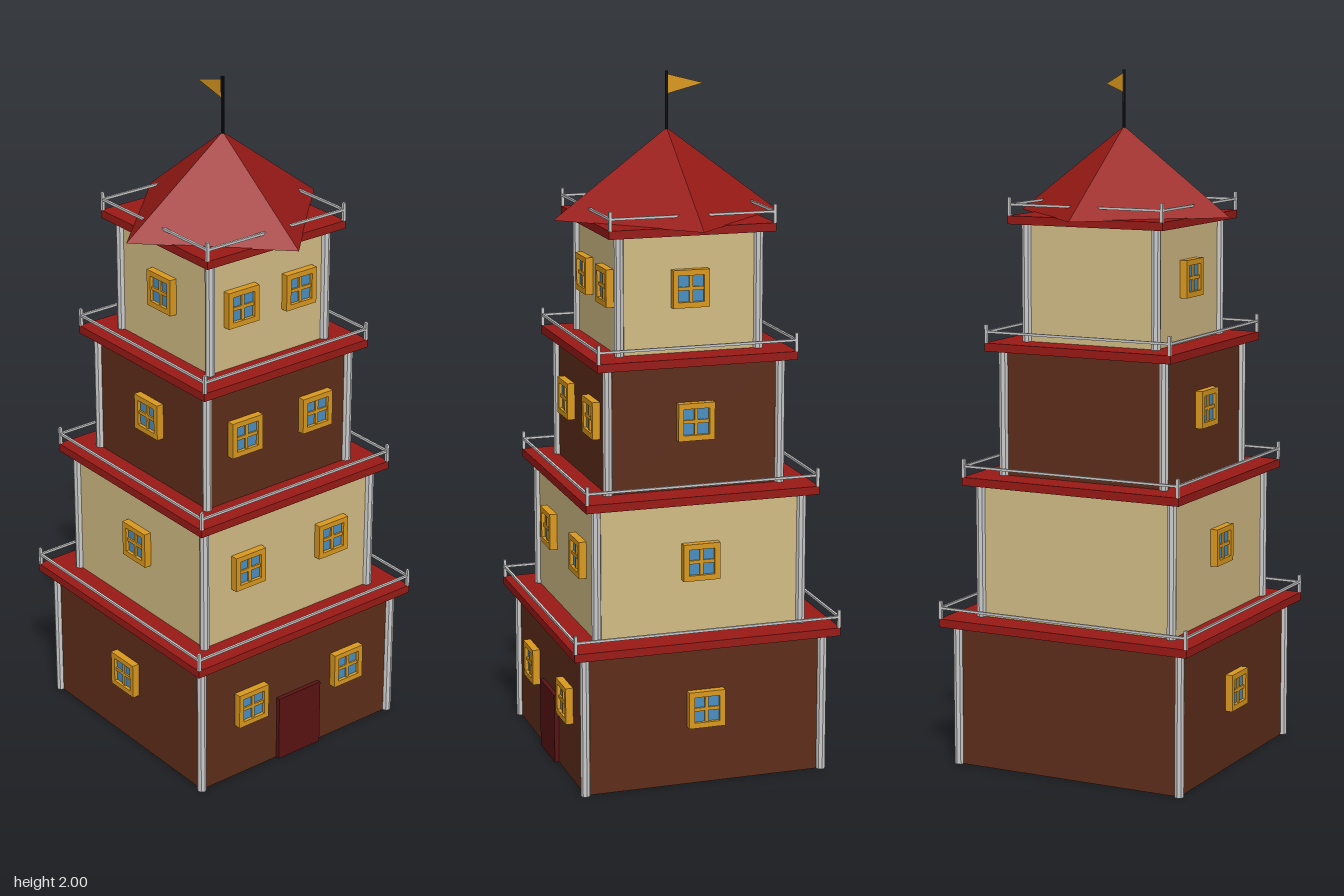
import * as THREE from 'three';

const mat = (color, extra = {}) => new THREE.MeshStandardMaterial({ color, flatShading: true, ...extra });
const BROWN = mat(0x5f2e1b), CREAM = mat(0xd4be86), RED = mat(0x9a1a16), GREY = mat(0xcccccc);
const GOLD = mat(0xdc9a1e), GLASS = mat(0x4a90c4), DOOR = mat(0x5a1212), POLE = mat(0x14141c);
const FLAG = mat(0xdc9a1e, { side: THREE.DoubleSide });

function add(parent, name, geometry, material, x = 0, y = 0, z = 0) {
  const mesh = new THREE.Mesh(geometry, material);
  mesh.name = name;
  mesh.position.set(x, y, z);
  parent.add(mesh);
  return mesh;
}
const box = (w, h, d) => new THREE.BoxGeometry(w, h, d);

// Window facing +z, its back sitting on z = 0
function makeWindow() {
  const g = new THREE.Group();
  g.name = 'window';
  const size = 0.108, bar = 0.016, depth = 0.022, off = (size - bar) / 2;
  add(g, 'windowPane', box(size - bar, size - bar, 0.012), GLASS, 0, 0, 0.006);
  for (const s of [-1, 1]) {
    add(g, 'windowFrameRail', box(size, bar, depth), GOLD, 0, s * off, depth / 2);
    add(g, 'windowFrameStile', box(bar, size - 2 * bar, depth), GOLD, s * off, 0, depth / 2);
  }
  add(g, 'windowMullion', box(0.01, size - 2 * bar, 0.017), GOLD, 0, 0, 0.0085);
  add(g, 'windowTransom', box(size - 2 * bar, 0.01, 0.017), GOLD, 0, 0, 0.0085);
  return g;
}

// Balcony railing round a square of half-width r, standing on y
function makeRailing(r, y) {
  const g = new THREE.Group();
  g.name = 'railing';
  for (const s of [-1, 1]) {
    add(g, 'handrailX', box(2 * r, 0.007, 0.007), GREY, 0, y + 0.032, s * r);
    add(g, 'handrailZ', box(0.007, 0.007, 2 * r), GREY, s * r, y + 0.032, 0);
    for (const t of [-1, 1]) add(g, 'railingPost', box(0.009, 0.053, 0.009), GREY, s * r, y + 0.0265, t * r);
  }
  return g;
}

// One storey: walls, corner posts, ledge, railing and windows
function makeStorey({ wall, ledge, base, top, windowX, windowY, material }) {
  const g = new THREE.Group();
  g.name = 'storey';
  const slab = 0.024, height = top - slab - base, mid = base + height / 2;
  add(g, 'walls', box(2 * wall, height, 2 * wall), material, 0, mid, 0);
  for (const s of [-1, 1]) for (const t of [-1, 1])
    add(g, 'cornerPost', new THREE.CylinderGeometry(0.014, 0.014, height, 8), GREY, s * wall, mid, t * wall);
  add(g, 'ledge', box(2 * ledge, slab, 2 * ledge), RED, 0, top - slab / 2, 0);
  g.add(makeRailing(ledge - 0.004, top));
  for (const s of [-1, 1]) {
    const front = makeWindow();
    front.position.set(s * windowX, windowY, wall);
    const side = makeWindow();
    side.position.set(s * wall, windowY, 0);
    side.rotation.y = s * Math.PI / 2;
    g.add(front, side);
  }
  return g;
}

export function createModel() {
  const model = new THREE.Group();
  model.name = 'tower';

  const storeys = [
    { wall: 0.356, ledge: 0.396, base: 0, top: 0.435, windowX: 0.18, windowY: 0.226, material: BROWN },
    { wall: 0.306, ledge: 0.345, base: 0.435, top: 0.846, windowX: 0.154, windowY: 0.648, material: CREAM },
    { wall: 0.256, ledge: 0.295, base: 0.846, top: 1.231, windowX: 0.128, windowY: 1.044, material: BROWN },
    { wall: 0.206, ledge: 0.245, base: 1.231, top: 1.592, windowX: 0.103, windowY: 1.415, material: CREAM },
  ];
  for (const s of storeys) model.add(makeStorey(s));

  add(model, 'door', box(0.156, 0.206, 0.02), DOOR, 0, 0.103, 0.359);

  // Pyramid roof with its corners on the x and z axes
  add(model, 'roof', new THREE.ConeGeometry(0.336, 0.25, 4), RED, 0, 1.715, 0);
  add(model, 'flagPole', new THREE.CylinderGeometry(0.005, 0.005, 0.18, 8), POLE, 0, 1.91, 0);

  // Pennant flying towards the back
  const pennant = new THREE.Shape([
    new THREE.Vector2(0, 1.992), new THREE.Vector2(0, 1.935), new THREE.Vector2(0.11, 1.963),
  ]);
  add(model, 'flag', new THREE.ShapeGeometry(pennant), FLAG).rotation.y = Math.PI / 2;

  return model;
}
